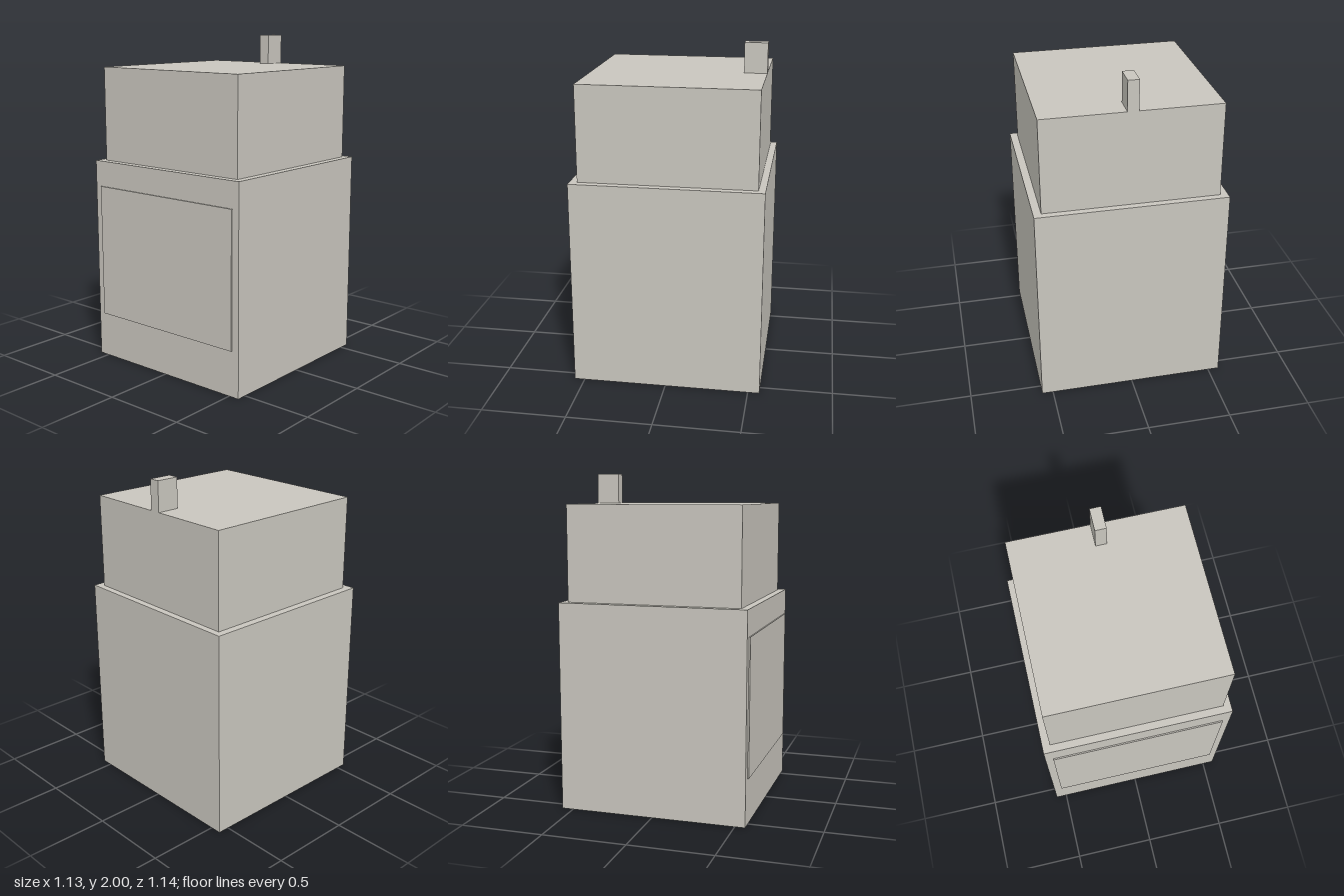
import * as THREE from 'three';

export function createModel() {
  const model = new THREE.Group();
  const warmGrey = new THREE.MeshStandardMaterial({ color: 0xc8c5bd });
  warmGrey.name = 'warm grey';

  // Box given by its extents along each axis
  const addBox = (name, [x0, x1], [y0, y1], [z0, z1]) => {
    const mesh = new THREE.Mesh(new THREE.BoxGeometry(x1 - x0, y1 - y0, z1 - z0), warmGrey);
    mesh.position.set((x0 + x1) / 2, (y0 + y1) / 2, (z0 + z1) / 2);
    mesh.name = name;
    model.add(mesh);
  };

  // Wide lower block and the narrower block on top of it
  addBox('lowerBody', [-0.567, 0.567], [0, 1.25], [-0.569, 0.561]);
  addBox('upperBody', [-0.521, 0.521], [1.25, 1.82], [-0.528, 0.516]);
  // Thin panel on the front face
  addBox('frontPanel', [-0.521, 0.521], [0.275, 1.093], [0.561, 0.569]);
  // Small post, flush with the back of the upper block
  addBox('rearPost', [-0.033, 0.033], [1.82, 2], [-0.528, -0.39]);

  return model;
}
